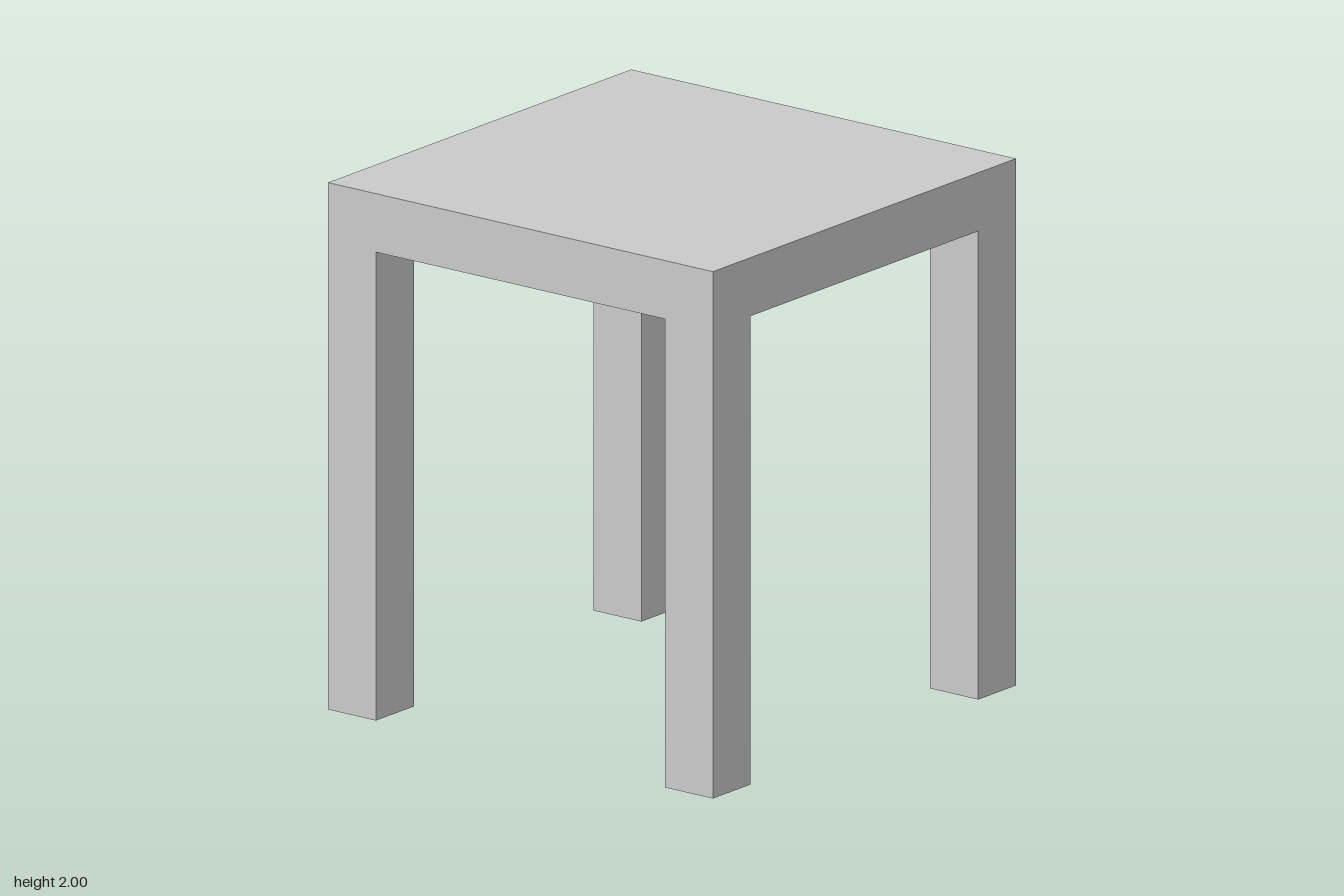
import * as THREE from 'three';

const SIZE = 1.778;   // width and depth of the top
const HEIGHT = 2;
const THICK = 0.222;  // top thickness and leg width

export function createModel() {
  const table = new THREE.Group();
  table.name = 'table';
  const material = new THREE.MeshStandardMaterial({ color: 0xcccccc, flatShading: true });

  // Solid square top
  const top = new THREE.Mesh(new THREE.BoxGeometry(SIZE, THICK, SIZE), material);
  top.name = 'tableTop';
  top.position.y = HEIGHT - THICK / 2;
  table.add(top);

  // Four square legs, flush with the corners
  const legHeight = HEIGHT - THICK;
  const legGeometry = new THREE.BoxGeometry(THICK, legHeight, THICK);
  const offset = (SIZE - THICK) / 2;
  for (const [zName, z] of [['front', 1], ['back', -1]]) {
    for (const [xName, x] of [['Left', 1], ['Right', -1]]) {
      const leg = new THREE.Mesh(legGeometry, material);
      leg.name = `${zName}${xName}Leg`;
      leg.position.set(x * offset, legHeight / 2, z * offset);
      table.add(leg);
    }
  }
  return table;
}
